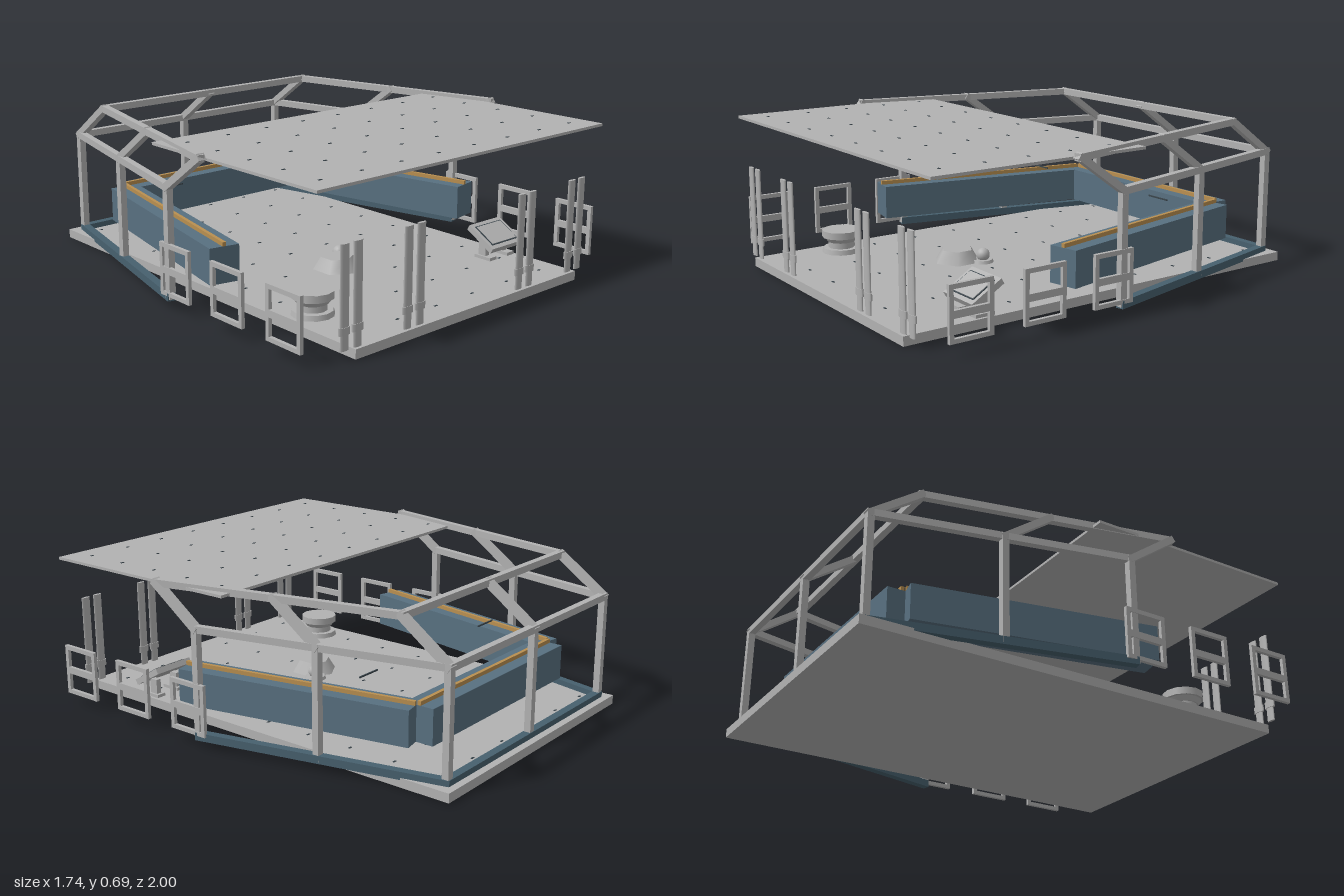
import * as THREE from 'three';

const mat = (name, color) => {
  const m = new THREE.MeshStandardMaterial({ color });
  m.name = name;
  return m;
};

export function createModel() {
  const model = new THREE.Group();
  const grey = mat('metalGrey', 0xb2b2b2);
  const blue = mat('consoleBlue', 0x587080);
  const darkBlue = mat('sillBlue', 0x47606e);
  const tan = mat('trimTan', 0xb98f50);
  const dark = mat('darkSlate', 0x3a454c);

  const add = (name, geo, material, x = 0, y = 0, z = 0, parent = model) => {
    const mesh = new THREE.Mesh(geo, material);
    mesh.name = name;
    mesh.position.set(x, y, z);
    parent.add(mesh);
    return mesh;
  };
  const box = (name, w, h, d, material, x, y, z, parent) =>
    add(name, new THREE.BoxGeometry(w, h, d), material, x, y, z, parent);
  const cyl = (name, rTop, rBottom, h, sides, material, x, y, z, parent) =>
    add(name, new THREE.CylinderGeometry(rTop, rBottom, h, sides), material, x, y, z, parent);
  // Square bar between two points
  const beam = (name, a, b, material, w = 0.03, h = 0.03) => {
    const from = new THREE.Vector3(...a), to = new THREE.Vector3(...b);
    const mesh = box(name, w, h, from.distanceTo(to) + 0.024, material, 0, 0, 0);
    mesh.position.copy(from).lerp(to, 0.5);
    mesh.lookAt(to);
  };

  // Floor slab and roof sheet with small studs
  box('floor', 1.32, 0.04, 2, grey, 0, 0.02, 0);
  box('roof', 1.66, 0.012, 0.995, grey, 0, 0.661, 0.478);
  const studs = (name, nx, nz, w, d, y, zc) => {
    const geo = new THREE.BoxGeometry(0.016, 0.002, 0.008);
    const group = new THREE.Group();
    group.name = name;
    model.add(group);
    for (let i = 0; i < nx; i++) for (let j = 0; j < nz; j++)
      add('stud', geo, dark, ((i + 0.5) / nx - 0.5) * w, y, zc + ((j + 0.5) / nz - 0.5) * d, group);
  };
  studs('floorStuds', 6, 9, 1.32, 2, 0.041, 0);
  studs('roofStuds', 8, 5, 1.66, 0.995, 0.668, 0.478);

  // Canopy cage: posts, sloping struts and rails narrowing to the back
  const stations = [[0.85, 0.11], [0.725, -0.42], [0.6, -0.95]];
  const low = 0.51, high = 0.667, lean = 0.22;
  const upright = (x, z) => {
    beam('post', [x, 0.05, z], [x, low, z], grey);
    beam('strut', [x, low, z], [x, high, z + lean], grey, 0.036, 0.03);
  };
  for (const s of [-1, 1]) {
    for (const [x, z] of stations) upright(s * x, z);
    const [fx, fz] = stations[0], [bx, bz] = stations[2];
    beam('midRail', [s * fx, low, fz], [s * bx, low, bz], grey);
    beam('topRail', [s * fx, high, fz + lean], [s * bx, high, bz + lean], grey);
    beam('sill', [s * fx, 0.048, fz], [s * bx, 0.048, bz], darkBlue, 0.036, 0.034);
  }
  upright(0, -0.95);
  beam('backMidRail', [-0.6, low, -0.95], [0.6, low, -0.95], grey);
  beam('backTopRail', [-0.6, high, -0.73], [0.6, high, -0.73], grey);
  beam('backSill', [-0.6, 0.048, -0.95], [0.6, 0.048, -0.95], darkBlue, 0.036, 0.034);

  // Raised consoles around the sides and back, each with a tan strip
  for (const s of [-1, 1]) {
    const side = new THREE.Group();
    side.name = 'sideConsole';
    side.position.set(s * 0.613, 0, -0.215);
    side.rotation.y = s * 0.203;
    model.add(side);
    box('consoleBody', 0.132, 0.155, 1.06, blue, 0, 0.203, 0, side);
    box('consoleTrim', 0.016, 0.018, 1.06, tan, 0, 0.289, 0, side);
    box('consoleLever', 0.12, 0.006, 0.006, dark, s * 0.437, 0.328, -0.45);
  }
  box('backConsole', 1, 0.155, 0.135, blue, 0, 0.203, -0.745);
  box('backConsoleTrim', 1, 0.018, 0.016, tan, 0, 0.289, -0.745);

  // Paired flat columns along the front edge
  for (const x of [-0.7, -0.633, -0.37, -0.302, 0.295, 0.362, 0.628, 0.695]) {
    const column = new THREE.Group();
    column.name = 'frontColumn';
    column.position.set(x, 0, 0.98);
    column.scale.z = 0.34;
    model.add(column);
    cyl('columnShaft', 0.023, 0.023, 0.32, 12, grey, 0, 0.29, 0, column);
    cyl('columnCollar', 0.029, 0.029, 0.03, 12, grey, 0, 0.117, 0, column);
    cyl('columnFoot', 0.021, 0.021, 0.062, 12, grey, 0, 0.071, 0, column);
  }

  // Free-standing side window frames with a crossbar
  const outline = new THREE.Shape();
  outline.moveTo(-0.097, 0.052).lineTo(0.097, 0.052).lineTo(0.097, 0.277).lineTo(-0.097, 0.277).closePath();
  for (const [y0, y1] of [[0.07, 0.147], [0.177, 0.258]]) {
    const hole = new THREE.Path();
    hole.moveTo(-0.078, y0).lineTo(-0.078, y1).lineTo(0.078, y1).lineTo(0.078, y0).closePath();
    outline.holes.push(hole);
  }
  const frameGeo = new THREE.ExtrudeGeometry(outline, { depth: 0.016, bevelEnabled: false });
  frameGeo.translate(0, 0, -0.008).rotateY(Math.PI / 2);
  for (const s of [-1, 1])
    for (const z of [0.832, 0.497, 0.162]) add('windowFrame', frameGeo, grey, s * 0.86, 0, z);

  // Stacked round seat
  const seat = new THREE.Group();
  seat.name = 'seat';
  seat.position.set(-0.535, 0, 0.625);
  model.add(seat);
  cyl('seatBase', 0.085, 0.09, 0.022, 12, grey, 0, 0.051, 0, seat);
  cyl('seatStem', 0.06, 0.06, 0.04, 12, grey, 0, 0.08, 0, seat);
  cyl('seatRing', 0.08, 0.065, 0.02, 12, grey, 0, 0.1, 0, seat);
  cyl('seatTop', 0.088, 0.088, 0.032, 12, grey, 0, 0.128, 0, seat);

  // Tilted control desk on two legs
  const desk = new THREE.Group();
  desk.name = 'controlDesk';
  desk.position.set(0.565, 0, 0.625);
  model.add(desk);
  for (const x of [-0.06, 0.06]) {
    box('deskLeg', 0.025, 0.08, 0.04, grey, x, 0.08, -0.01, desk);
    box('deskFoot', 0.045, 0.014, 0.09, grey, x, 0.047, 0, desk);
  }
  const panel = new THREE.Group();
  panel.name = 'deskPanel';
  panel.position.y = 0.137;
  panel.rotation.x = 0.53;
  desk.add(panel);
  box('panelBody', 0.205, 0.026, 0.16, grey, 0, 0, 0, panel);
  box('panelRim', 0.17, 0.003, 0.12, dark, 0, 0.0145, 0, panel);
  box('panelScreen', 0.16, 0.004, 0.11, grey, 0, 0.016, 0, panel);

  // Low pedestal with a ball beside it
  const plinth = cyl('pedestal', 0.085, 0.125, 0.055, 6, grey, -0.085, 0.068, 0.28);
  plinth.geometry.scale(0.85, 1, 0.85);
  cyl('ballPlate', 0.045, 0.05, 0.014, 12, grey, 0, 0.047, 0.2);
  add('ball', new THREE.SphereGeometry(0.03, 16, 12), grey, 0.005, 0.075, 0.2);

  return model;
}
